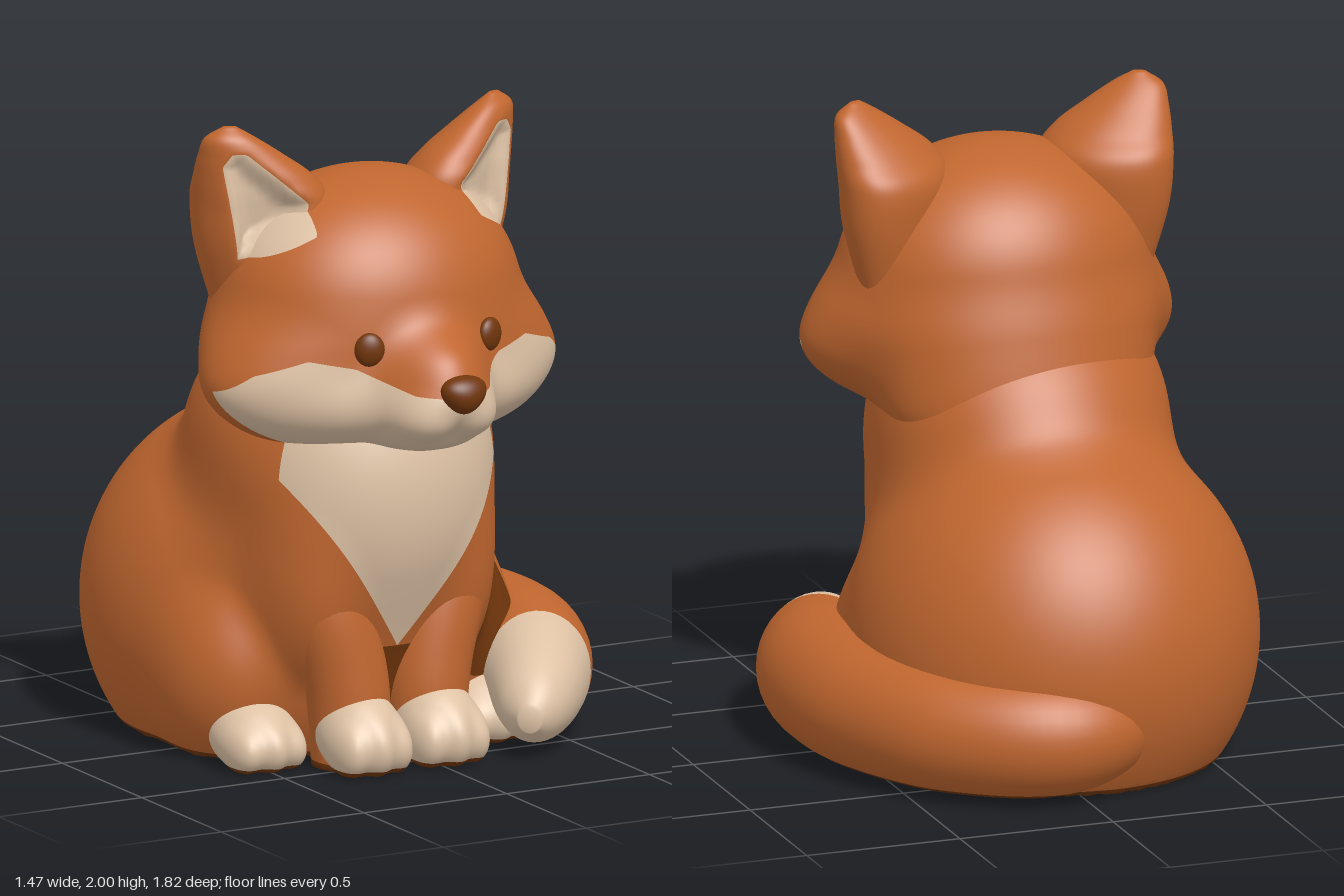
import * as THREE from 'three';
import { mergeVertices } from 'three/addons/utils/BufferGeometryUtils.js';

const material = (name, color) => Object.assign(new THREE.MeshStandardMaterial({ color }), { name });
const orange = material('orange fur', 0xc0662f);
const cream = material('cream fur', 0xdec2a5);
const brown = material('dark brown', 0x71360c);

// ---- rounded volumes: distance to an ellipsoid, soft union ----
function ellipsoid(x, y, z, cx, cy, cz, rx, ry, rz) {
  const a = (x - cx) / rx, b = (y - cy) / ry, c = (z - cz) / rz;
  const k0 = Math.hypot(a, b, c), k1 = Math.hypot(a / rx, b / ry, c / rz);
  return k1 < 1e-6 ? -Math.min(rx, ry, rz) : k0 * (k0 - 1) / k1;
}
function soft(a, b, k) {
  const h = Math.max(k - Math.abs(a - b), 0) / k;
  return Math.min(a, b) - h * h * k / 4;
}
// parts: [cx, cy, cz, rx, ry, rz, blend], mirrored in x
const volume = (parts) => (x, y, z) => {
  let d = 9;
  for (const [cx, cy, cz, rx, ry, rz, k] of parts) {
    d = soft(d, ellipsoid(Math.abs(x), y, z, cx, cy, cz, rx, ry, rz), k);
  }
  return Math.max(d, -y);
};
// distance from o along d to the outer surface of a volume
function reach(f, o, d) {
  const at = (r) => f(o[0] + d.x * r, o[1] + d.y * r, o[2] + d.z * r);
  let out = 1.6;
  while (out > 0.02 && at(out - 0.02) > 0) out -= 0.02;
  let inn = out - 0.02;
  for (let i = 0; i < 16; i++) {
    const m = (inn + out) / 2;
    if (at(m) > 0) out = m; else inn = m;
  }
  return inn;
}
// sphere whose vertices are moved onto the volume's surface
function blob(f, o, detail) {
  let g = new THREE.IcosahedronGeometry(1, detail);
  g.deleteAttribute('uv');
  g.deleteAttribute('normal');
  g = mergeVertices(g, 1e-4);
  const p = g.attributes.position, d = new THREE.Vector3();
  for (let i = 0; i < p.count; i++) {
    d.fromBufferAttribute(p, i).normalize();
    const r = reach(f, o, d);
    p.setXYZ(i, o[0] + d.x * r, o[1] + d.y * r, o[2] + d.z * r);
  }
  g.computeVertexNormals();
  return g;
}

// ---- loft through rows [x, y, z, radiusU, radiusV] ----
function loft(rows, upright, along, around, power = 1) {
  const path = new THREE.CatmullRomCurve3(rows.map((r) => new THREE.Vector3(r[0], r[1], r[2])), false, 'catmullrom');
  const size = new THREE.CatmullRomCurve3(rows.map((r) => new THREE.Vector3(r[3], r[4], 0)), false, 'catmullrom');
  const pos = [], index = [], Y = new THREE.Vector3(0, 1, 0);
  const pw = (c) => Math.sign(c) * Math.abs(c) ** power;
  for (let i = 0; i <= along; i++) {
    const t = i / along, c = path.getPoint(t), s = size.getPoint(t);
    const u = upright ? new THREE.Vector3(0, 0, 1) : Y.clone().cross(path.getTangent(t)).normalize();
    const v = upright ? new THREE.Vector3(1, 0, 0) : Y;
    for (let j = 0; j < around; j++) {
      const a = j / around * Math.PI * 2;
      const q = c.clone().addScaledVector(u, s.x * pw(Math.cos(a))).addScaledVector(v, s.y * pw(Math.sin(a)));
      pos.push(q.x, Math.max(q.y, 0), q.z);
      const k = (j + 1) % around, n = i * around;
      if (i < along) index.push(n + j, n + k, n + around + k, n + j, n + around + k, n + around + j);
    }
  }
  const base = pos.length / 3, last = along * around;
  pos.push(...path.getPoint(0).toArray(), ...path.getPoint(1).toArray());
  for (let j = 0; j < around; j++) {
    const k = (j + 1) % around;
    index.push(base, k, j, base + 1, last + j, last + k);
  }
  const g = new THREE.BufferGeometry();
  g.setAttribute('position', new THREE.Float32BufferAttribute(pos, 3));
  g.setIndex(index);
  g.computeVertexNormals();
  return g;
}

const named = (name, o) => Object.assign(o, { name });
// cut triangles (corners of position + normal) into field < 0 and field > 0
function cut(corners, field) {
  const sides = [[], []];
  for (let t = 0; t < corners.length; t += 3) {
    const c = corners.slice(t, t + 3), v = c.map((q) => field(q[0], q[1], q[2]));
    [-1, 1].forEach((sign, s) => {
      const poly = [];
      for (let k = 0; k < 3; k++) {
        const n = (k + 1) % 3, a = v[k] * sign, b = v[n] * sign;
        if (a > 0 || (a === 0 && s === 1)) poly.push(c[k]);
        if (a * b < 0) poly.push(c[k].map((q, m) => q + (c[n][m] - q) * a / (a - b)));
      }
      for (let k = 2; k < poly.length; k++) sides[s].push(poly[0], poly[k - 1], poly[k]);
    });
  }
  return sides;
}
// mesh in a base colour with cleanly cut patches: layers of [field, material]
function painted(name, g, base, layers) {
  const P = g.attributes.position, N = g.attributes.normal;
  let rest = Array.from(g.index.array, (i) =>
    [P.getX(i), P.getY(i), P.getZ(i), N.getX(i), N.getY(i), N.getZ(i)]);
  const pieces = layers.map(([field]) => {
    const [out, inn] = cut(rest, field);
    rest = out;
    return inn;
  }).concat([rest]);
  const all = pieces.flat(), geo = new THREE.BufferGeometry();
  geo.setAttribute('position', new THREE.Float32BufferAttribute(all.flatMap((q) => q.slice(0, 3)), 3));
  geo.setAttribute('normal', new THREE.Float32BufferAttribute(all.flatMap((q) => q.slice(3)), 3));
  let start = 0;
  pieces.forEach((piece, i) => {
    geo.addGroup(start, piece.length, i);
    start += piece.length;
  });
  return named(name, new THREE.Mesh(geo, [...layers.map((l) => l[1]), base]));
}
// height of a broken line through [x, y] points
function line(pts, x) {
  let i = 1;
  while (i < pts.length - 1 && x > pts[i][0]) i++;
  const [a, b] = [pts[i - 1], pts[i]];
  return a[1] + (b[1] - a[1]) * (x - a[0]) / (b[0] - a[0]);
}
// signed distance inside a convex outline, corners counter-clockwise
const inside = (pts, x, y) => Math.min(...pts.map(([ax, ay], i) => {
  const [bx, by] = pts[(i + 1) % pts.length];
  return ((bx - ax) * (y - ay) - (by - ay) * (x - ax)) / Math.hypot(bx - ax, by - ay);
}));

function makeHead() {
  const head = named('head', new THREE.Group());
  const skull = volume([
    [0, 1.42, 0.24, 0.49, 0.405, 0.42, 0.1],    // cranium
    [0, 1.3, 0.25, 0.52, 0.22, 0.4, 0.1],       // temples
    [0, 1.2, 0.1, 0.44, 0.3, 0.34, 0.1],        // back of the head
    [0, 1.06, 0.03, 0.4, 0.2, 0.29, 0.12],      // nape
    [0, 1.17, 0.37, 0.45, 0.18, 0.33, 0.08],    // lower face
    [0.3, 1.21, 0.32, 0.285, 0.15, 0.2, 0.16],  // cheeks
    [0, 1.2, 0.62, 0.17, 0.11, 0.235, 0.12],    // snout
    [0, 1.29, 0.6, 0.12, 0.1, 0.2, 0.12],       // bridge
    [0.07, 1.15, 0.7, 0.1, 0.085, 0.14, 0.05],  // lips
    [0, 1.085, 0.6, 0.14, 0.065, 0.15, 0.06],   // chin
  ]);
  const maskTop = [[0, 1.22], [0.13, 1.23], [0.25, 1.295], [0.38, 1.32], [0.52, 1.27], [0.6, 1.2]];
  const opening = [[0.46, 1.585], [0.505, 1.88], [0.48, 1.92], [0.44, 1.92], [0.265, 1.76], [0.285, 1.68]];
  const earMiddle = (x, y) => 0.18 + 0.28 * (y - 1.75) + 0.3 * (0.37 - Math.abs(x));
  const earLining = (x, y, z) => Math.min(inside(opening, Math.abs(x), y), z - earMiddle(x, y));
  const mask = (x, y, z) => Math.min(line(maskTop, Math.abs(x)) - y, z - 0.34 - (1.2 - y) * 0.5);
  head.add(painted('face', blob(skull, [0, 1.25, 0.3], 40), orange, [[mask, cream], [earLining, cream]]));

  // nose, wider at the top
  const nose = new THREE.SphereGeometry(1, 32, 24), p = nose.attributes.position;
  for (let i = 0; i < p.count; i++) p.setX(i, p.getX(i) * (1 + 0.3 * p.getY(i)));
  nose.scale(0.072, 0.06, 0.055);
  nose.computeVertexNormals();
  const noseMesh = named('nose', new THREE.Mesh(nose, brown));
  noseMesh.position.set(0, 1.235, 0.855);
  head.add(noseMesh);

  for (const s of [-1, 1]) {
    const side = s > 0 ? 'left' : 'right';
    const eye = named(side + 'Eye', new THREE.Mesh(new THREE.SphereGeometry(1, 28, 20), brown));
    eye.scale.set(0.047, 0.053, 0.028);
    eye.position.set(s * 0.21, 1.355, 0.2 + reach(skull, [0.21, 1.355, 0.2], new THREE.Vector3(0, 0, 1)) + 0.003);
    eye.rotation.y = s * 0.4;
    head.add(eye);

    // ear, turned slightly outward, with a hollowed front
    const ear = loft([
      [0.31, 1.38, 0.16, 0.1, 0.15], [0.345, 1.6, 0.175, 0.155, 0.175], [0.345, 1.75, 0.18, 0.165, 0.19],
      [0.372, 1.83, 0.2, 0.13, 0.168], [0.418, 1.9, 0.22, 0.09, 0.122],
      [0.458, 1.96, 0.237, 0.052, 0.074], [0.463, 1.997, 0.24, 0.012, 0.02],
    ].map((r) => [r[0] * s, ...r.slice(1)]), true, 56, 56, 0.92);
    const q = ear.attributes.position;
    for (let i = 0; i < q.count; i++) {
      const x = q.getX(i), y = q.getY(i), z = q.getZ(i) + 0.3 * (0.37 - Math.abs(x));
      const mid = earMiddle(x, y);
      const dent = THREE.MathUtils.smoothstep(inside(opening, Math.abs(x), y), -0.01, 0.06);
      q.setZ(i, z > mid ? mid + (z - mid) * (1 - 0.45 * dent) : z);
    }
    ear.computeVertexNormals();
    head.add(painted(side + 'Ear', ear, orange, [[earLining, cream]]));
  }
  head.position.x = -0.07;
  return head;
}

function makeBody() {
  const body = named('body', new THREE.Group());
  const torso = volume([
    [0, 0.38, -0.2, 0.63, 0.65, 0.66, 0.1],      // rump and back
    [0, 0.85, 0.2, 0.44, 0.55, 0.43, 0.16],      // chest
    [0, 1.03, 0.04, 0.4, 0.3, 0.34, 0.22],       // neck
    [0.23, 0.58, 0.33, 0.155, 0.32, 0.2, 0.08],  // shoulders
    [0.38, 0.27, 0.06, 0.225, 0.32, 0.29, 0.06], // haunches
  ]);
  const bib = (x, y, z) => Math.min(y - 0.37 - 1.46 * Math.abs(x), z - 0.42, 0.385 - Math.abs(x));
  // dark hollows: behind the left foreleg, between the forelegs
  const hollow = [[0.25, 0.2], [0.43, 0.2], [0.43, 0.36], [0.28, 0.6], [0.2, 0.6]];
  const behindLeg = (x, y, z) => Math.min(inside(hollow, z, y), x - 0.33);
  const betweenLegs = (x, y, z) => Math.min(0.37 - y, 0.1 - Math.abs(x), z - 0.3);
  const underside = (x, y) => 0.02 - y;
  body.add(painted('torso', blob(torso, [0, 0.5, 0], 36), orange,
    [[bib, cream], [underside, brown], [behindLeg, brown], [betweenLegs, brown]]));

  const paw = painted('paw', blob(volume([
    [0, 0.11, 0, 0.13, 0.135, 0.15, 0.01],
    [0, 0.08, 0.1, 0.05, 0.085, 0.085, 0.05],
    [0.08, 0.075, 0.08, 0.045, 0.08, 0.085, 0.04],
  ]), [0, 0.1, 0], 14), cream, [[underside, brown]]);
  for (const s of [-1, 1]) {
    const side = s > 0 ? 'left' : 'right';
    const leg = loft([
      [0.135, 0, 0.43, 0.12, 0.115], [0.135, 0.15, 0.43, 0.13, 0.125], [0.15, 0.3, 0.42, 0.135, 0.135],
      [0.21, 0.55, 0.36, 0.165, 0.16], [0.25, 0.78, 0.26, 0.17, 0.16], [0.22, 0.95, 0.2, 0.06, 0.06],
    ].map((r) => [r[0] * s, ...r.slice(1)]), true, 48, 40);
    body.add(painted(side + 'FrontLeg', leg, orange, [[bib, cream], [underside, brown]]));
    for (const [name, x, z, h] of [['FrontPaw', 0.135, 0.49, 1], ['RearPaw', 0.395, 0.29, 0.85]]) {
      const m = named(side + name, paw.clone());
      m.position.set(s * x, 0, z);
      m.scale.y = h;
      body.add(m);
    }
  }
  body.position.x = -0.1;
  return body;
}

export function createModel() {
  const model = named('sittingFox', new THREE.Group());
  // tail curls round the left side to the front
  const tail = loft([
    [-0.33, 0.23, -0.53, 0.1, 0.1], [0.02, 0.21, -0.7, 0.205, 0.19], [0.33, 0.205, -0.56, 0.2, 0.2],
    [0.5, 0.205, -0.25, 0.2, 0.205], [0.54, 0.205, 0.03, 0.2, 0.205], [0.5, 0.2, 0.25, 0.19, 0.2],
    [0.41, 0.185, 0.45, 0.155, 0.175], [0.31, 0.155, 0.61, 0.105, 0.115], [0.25, 0.135, 0.695, 0.035, 0.04],
  ], false, 80, 40);
  model.add(makeHead(), makeBody(), painted('tail', tail, orange, [
    [(x, y, z) => z + 0.25 * (y - 0.2) - 0.44 - 0.35 * (x - 0.55), cream],
    [(x, y) => 0.035 - y, brown],
  ]));
  return model;
}
